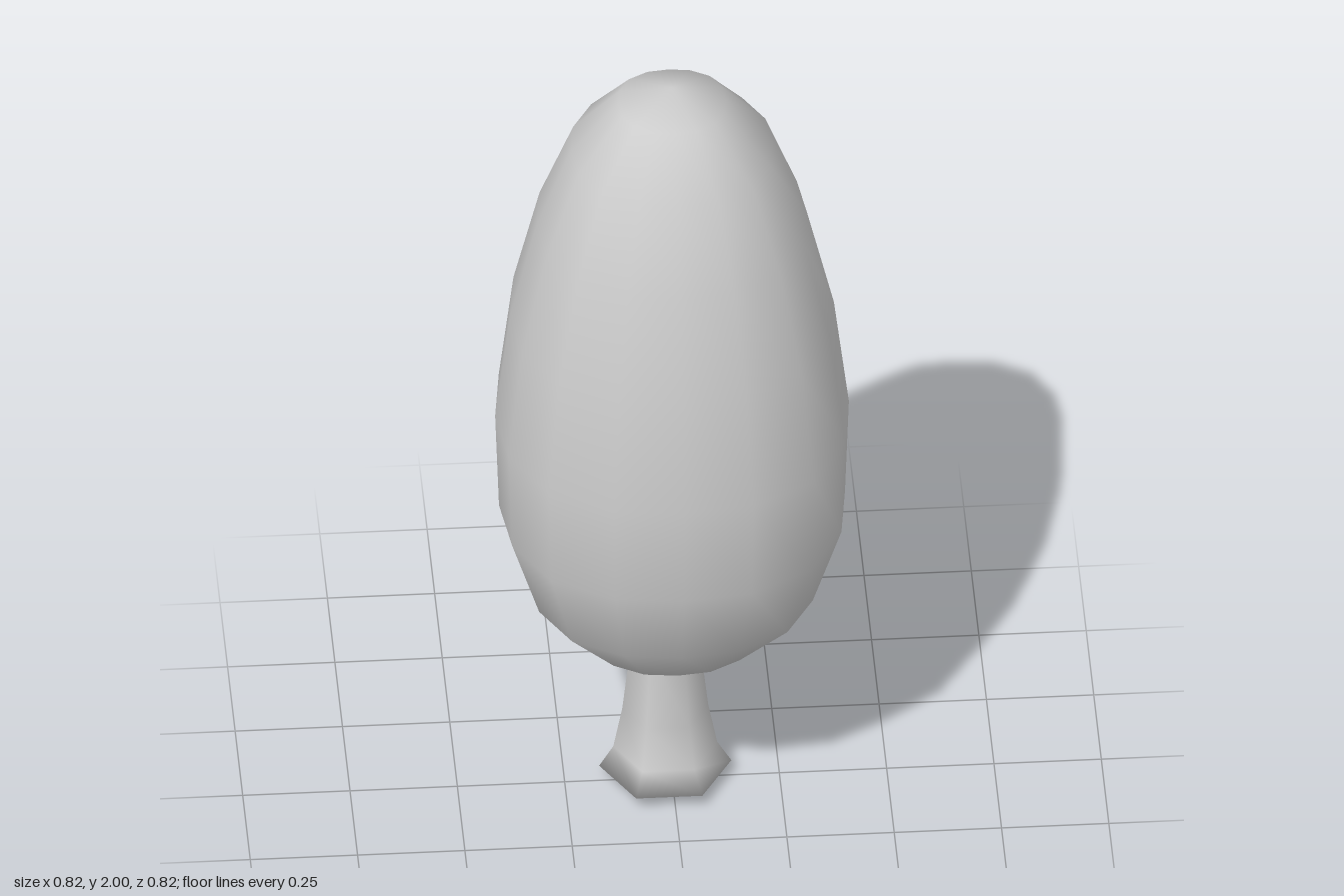
import * as THREE from 'three';
import { mergeVertices } from 'three/addons/utils/BufferGeometryUtils.js';

// Turned solid with welded seam and smooth normals; shape(phi) scales the radius
function turned(name, profile, sides, shape = () => 1) {
  const points = profile.map(([r, y]) => new THREE.Vector2(r, y));
  let geo = new THREE.LatheGeometry(points, sides, Math.PI / 2);
  geo.deleteAttribute('uv');
  geo.deleteAttribute('normal');
  const p = geo.attributes.position;
  for (let i = 0; i < p.count; i++) {
    const k = shape(Math.atan2(p.getX(i), p.getZ(i)));
    p.setXYZ(i, p.getX(i) * k, p.getY(i), p.getZ(i) * k);
  }
  geo = mergeVertices(geo, 1e-4);
  geo.computeVertexNormals();
  const mesh = new THREE.Mesh(geo, new THREE.MeshStandardMaterial({ color: 0xcccccc }));
  mesh.name = name;
  return mesh;
}

export function createModel() {
  const tree = new THREE.Group();
  tree.name = 'tree';

  // Egg-shaped crown, slightly squared in plan
  const crown = turned('crown', [
    [0, 0.395], [0.195, 0.44], [0.335, 0.595], [0.403, 0.81], [0.412, 1.07],
    [0.377, 1.36], [0.315, 1.62], [0.235, 1.83], [0.125, 1.96], [0, 2],
  ], 16, (phi) => 1 + 0.06 * Math.sin(2 * phi) ** 2);

  // Six-sided trunk, flared at the foot with a shallow pointed underside
  const trunk = turned('trunk', [
    [0, 0], [0.154, 0.035], [0.121, 0.09], [0.1, 0.2], [0.078, 0.4], [0.075, 0.5], [0, 0.5],
  ], 6);
  trunk.position.set(-0.015, 0, -0.01);

  tree.add(crown, trunk);
  return tree;
}
